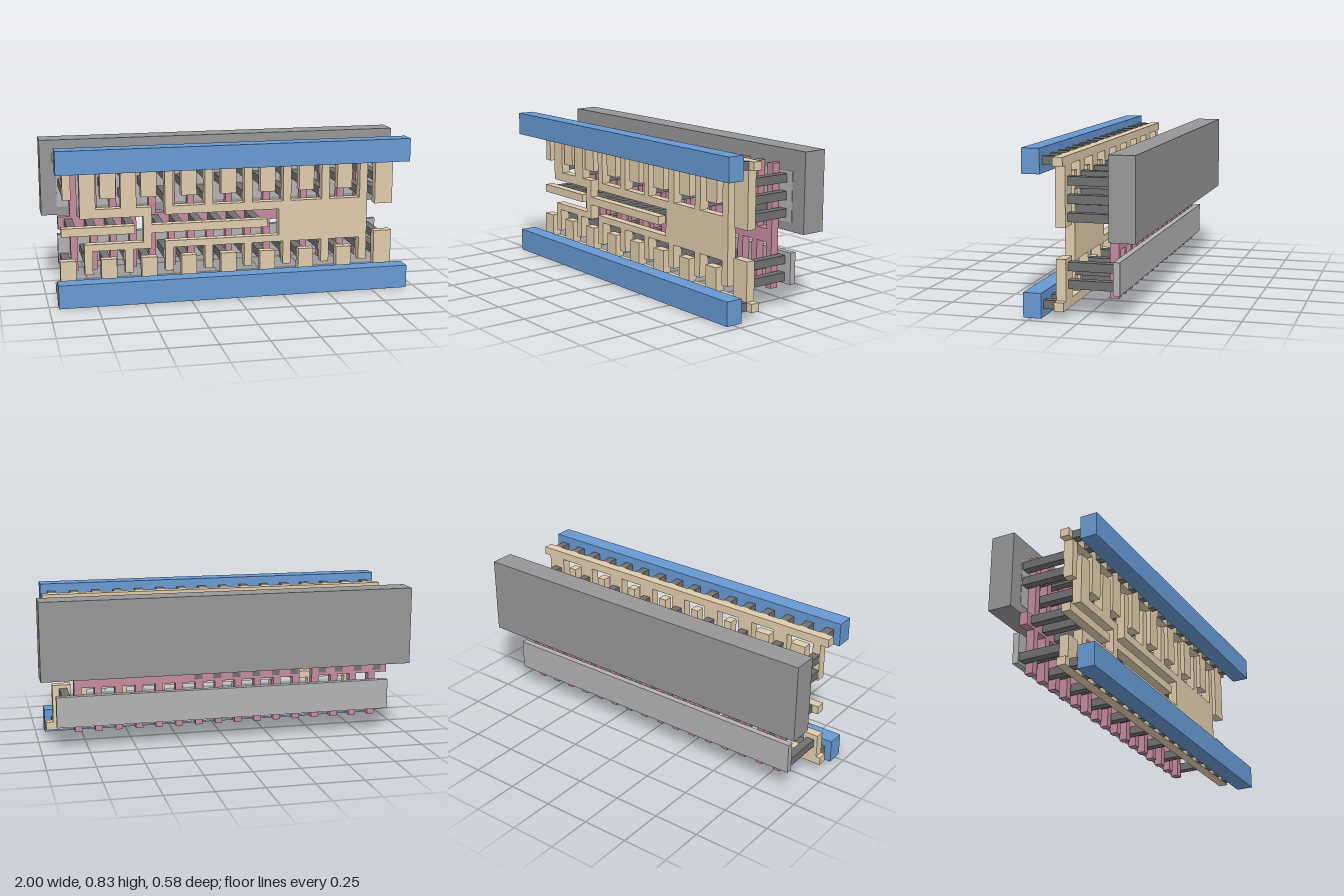
import * as THREE from 'three';

const material = (color) => new THREE.MeshStandardMaterial({ color });
const MAT = {
  rail: material(0x6699d2), link: material(0xdecbab), contact: material(0x707070),
  gate: material(0xc48a9e), well: material(0x969696), diffusion: material(0xb2b2b2),
};
// Depth range of every layer, back to front
const DEPTH = {
  rail: [0.198, 0.29], via: [0.133, 0.198], link: [0.083, 0.133],
  contact: [-0.1575, 0.083], gate: [-0.157, -0.112],
  diffusion: [-0.188, -0.155], well: [-0.288, -0.157],
};

export function createModel() {
  const model = new THREE.Group();
  model.name = 'layeredCircuitCell';

  // Box between two corners of the front plane, as deep as its layer
  function slab(name, layer, x0, x1, y0, y1, mat = MAT[layer]) {
    const [z0, z1] = DEPTH[layer];
    const mesh = new THREE.Mesh(new THREE.BoxGeometry(x1 - x0, y1 - y0, z1 - z0), mat);
    mesh.position.set((x0 + x1) / 2, (y0 + y1) / 2, (z0 + z1) / 2);
    mesh.name = name;
    model.add(mesh);
  }
  const H = 0.022; // half width of contacts and thin links
  const post = (name, layer, x, y) => slab(name, layer, x - H, x + H, y - H, y + H, MAT.contact);

  // Base blocks
  slab('well', 'well', -1, 1, 0.4, 0.815);
  slab('upperDiffusion', 'diffusion', -0.915, 0.915, 0.445, 0.705);
  slab('lowerDiffusion', 'diffusion', -0.915, 0.915, 0.125, 0.29);

  // Power rails, with link strips and short vias behind them
  for (const y of [0.0625, 0.7675]) {
    slab('powerRail', 'rail', -0.95, 0.95, y - 0.0625, y + 0.0625);
    slab('railStrip', 'link', -0.95, 0.95, y - H, y + H);
    for (let i = 0; i < 16; i++) post('railVia', 'via', -0.891 + i * 0.1188, y);
  }

  // Gate fingers, joined in two groups by crossbars
  const pitch = 0.1086;
  for (let i = 0; i < 16; i++) {
    const x = -0.83 + i * pitch;
    slab('gateFinger', 'gate', x - 0.0195, x + 0.0195, 0.09, 0.738);
  }
  slab('inputGateBar', 'gate', -0.915, -0.485, 0.327, 0.397);
  slab('outputGateBar', 'gate', -0.415, 0.816, 0.327, 0.397);
  for (const x of [-0.86, -0.75, -0.64, -0.545, -0.385, -0.28, -0.17, -0.06, 0.045, 0.15])
    post('gateContact', 'contact', x, 0.363);

  // Columns between the fingers: even ones hang from the rails, odd ones rise from the links
  for (let i = 0; i <= 16; i++) {
    const x = -0.884 + i * pitch;
    const last = i === 16;
    if (i % 2 === 0) {
      const up = i === 0 ? H : 0.042;
      slab('upperStub', 'link', x - up, x + (last ? 0.058 : up), last ? 0.445 : 0.54, 0.746);
      slab('lowerStub', 'link', x - 0.042, x + (last ? 0.058 : 0.042), 0.084, last ? 0.29 : 0.21);
      for (const y of last ? [0.16, 0.249, 0.49, 0.579, 0.668] : [0.16, 0.579, 0.668])
        post('diffusionContact', 'contact', x, y);
    } else {
      const up = i < 4 ? 0.042 : H;
      slab('upperRiser', 'link', x - up, x + up, 0.48, 0.705);
      slab('lowerRiser', 'link', x - H, x + H, 0.13, 0.26);
      for (const y of [0.207, 0.516, 0.639]) post('diffusionContact', 'contact', x, y);
    }
  }

  // First stage links: input bar, two crossbars and the upright joining them
  slab('inputLink', 'link', -0.917, -0.525, 0.343, 0.388);
  slab('upperFirstLink', 'link', -0.817, -0.435, 0.435, 0.485);
  slab('lowerFirstLink', 'link', -0.797, -0.435, 0.258, 0.295);
  slab('firstUpright', 'link', -0.48, -0.435, 0.295, 0.435);
  slab('middleLink', 'link', -0.435, 0.2, 0.343, 0.388);

  // Second stage links and the wide output plate
  slab('upperSecondLink', 'link', -0.363, 0.265, 0.44, 0.485);
  slab('lowerSecondLink', 'link', -0.363, 0.265, 0.258, 0.295);
  slab('outputPlate', 'link', 0.265, 0.767, 0.258, 0.485);

  return model;
}
